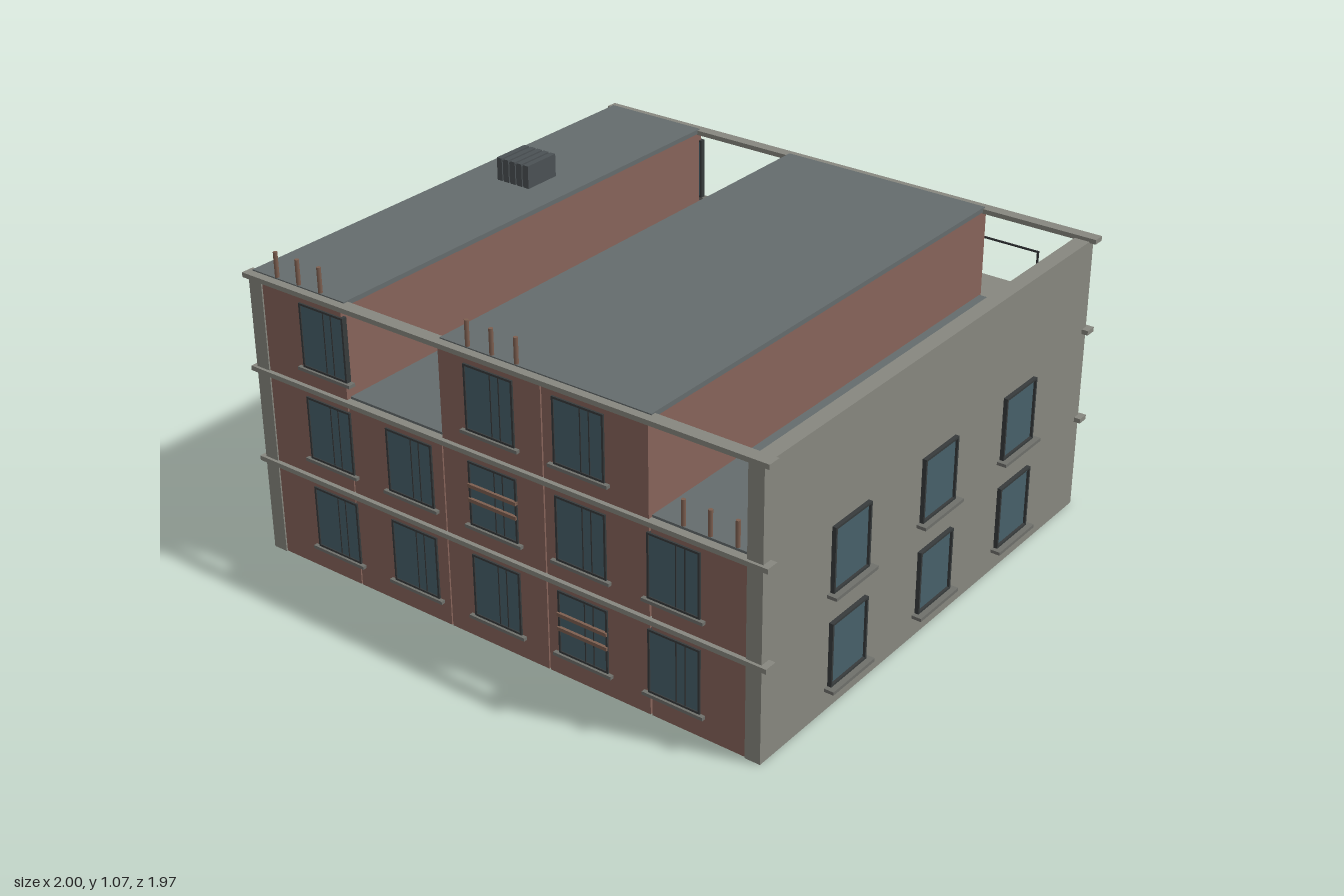
import * as THREE from 'three';

const mat = (color) => new THREE.MeshStandardMaterial({ color });
const M = {
  brick: mat(0x87645a), concrete: mat(0x87877f), roof: mat(0x656c6d), glass: mat(0x47606a),
  frame: mat(0x373b3c), sill: mat(0x6f706b), wood: mat(0x7d5f50), metal: mat(0x2c2e30), vent: mat(0x4b5154),
};

// Box given by its minimum and maximum on each axis
function box(parent, name, x0, x1, y0, y1, z0, z1, material) {
  const mesh = new THREE.Mesh(new THREE.BoxGeometry(x1 - x0, y1 - y0, z1 - z0), material);
  mesh.position.set((x0 + x1) / 2, (y0 + y1) / 2, (z0 + z1) / 2);
  mesh.name = name;
  parent.add(mesh);
  return mesh;
}

function rod(parent, name, a, b, radius, material) {
  const from = new THREE.Vector3(...a), dir = new THREE.Vector3(...b).sub(from);
  const mesh = new THREE.Mesh(new THREE.CylinderGeometry(radius, radius, dir.length(), 8), material);
  mesh.position.copy(from).addScaledVector(dir, 0.5);
  mesh.quaternion.setFromUnitVectors(new THREE.Vector3(0, 1, 0), dir.normalize());
  mesh.name = name;
  parent.add(mesh);
}

// Window facing +z, with its bottom centre on the wall surface
const W = 0.185, H = 0.217;
function makeWindow(depth, sillDepth, mullions, slats) {
  const g = new THREE.Group();
  g.name = 'window';
  const h = W / 2, t = 0.007, back = -0.012;
  box(g, 'glass', -h + t, h - t, t, H - t, back, depth * 0.4, M.glass);
  box(g, 'frameSide', -h, -h + t, 0, H, back, depth, M.frame);
  box(g, 'frameSide', h - t, h, 0, H, back, depth, M.frame);
  box(g, 'frameTop', -h + t, h - t, H - t, H, back, depth, M.frame);
  box(g, 'frameBottom', -h + t, h - t, 0, t, back, depth, M.frame);
  box(g, 'sill', -h - 0.016, h + 0.016, -0.011, 0, back, sillDepth, M.sill);
  for (const x of mullions) box(g, 'mullion', x - 0.002, x + 0.002, t, H - t, 0, depth * 0.7, M.frame);
  if (slats) for (const y of [0.088, 0.137])
    box(g, 'slat', -h, h, y - 0.006, y + 0.006, 0, depth + 0.006, M.wood);
  return g;
}

export function createModel() {
  const model = new THREE.Group();
  model.name = 'apartmentBuilding';
  const FRONT = 0.965, BACK = -0.825;
  const floors = [0.08, 0.4, 0.72];
  const tall = 0.966, low = 0.65;

  // Brick bays with narrow joints between them, each under a flat roof
  const bays = [
    { x0: -0.915, x1: -0.583, top: tall },
    { x0: -0.578, x1: -0.199, top: low },
    { x0: -0.194, x1: 0.191, top: tall },
    { x0: 0.196, x1: 0.573, top: tall },
    { x0: 0.58, x1: 0.91, top: low },
  ];
  for (const b of bays) box(model, 'brickBay', b.x0, b.x1, 0, b.top, BACK, FRONT, M.brick);
  for (const [x0, x1, y] of [[-0.968, -0.58, tall], [-0.196, 0.575, tall], [-0.58, -0.196, low], [0.575, 0.91, low]])
    box(model, 'flatRoof', x0, x1, y, y + 0.016, -0.812, 0.952, M.roof);

  // Concrete end walls
  box(model, 'endWall', -0.968, -0.915, 0, tall, -0.827, 0.97, M.concrete);
  box(model, 'endWall', 0.91, 0.963, 0, tall, -0.827, 0.97, M.concrete);

  // Horizontal bands on front and back
  for (const y of [0.32, 0.642, 0.962]) {
    box(model, 'frontBand', -0.985, 0.985, y, y + 0.016, 0.935, 0.98, M.concrete);
    box(model, 'backBand', -0.985, 0.985, y, y + 0.016, -0.84, -0.8, M.concrete);
  }

  // Front and back windows
  const columns = [-0.665, -0.333, -0.002, 0.328, 0.66];
  columns.forEach((x, i) => floors.forEach((y, f) => {
    if (f === 2 && bays[i].top === low) return;
    const slats = (i === 2 && f === 1) || (i === 3 && f === 0);
    for (const side of [1, -1]) {
      const w = makeWindow(0.006, 0.014, [0.008, 0.04].map((m) => m * side), slats);
      w.position.set(x, y, side > 0 ? FRONT : BACK);
      if (side < 0) w.rotation.y = Math.PI;
      model.add(w);
    }
  }));

  // End wall windows: three storeys on one side, two on the other
  for (const z of [0.545, 0.071, -0.4]) floors.forEach((y, f) => {
    for (const side of [1, -1]) {
      if (side > 0 && f === 2) continue;
      const w = makeWindow(0.014, 0.033, [], false);
      w.position.set(side > 0 ? 0.963 : -0.968, y, z);
      w.rotation.y = side * Math.PI / 2;
      model.add(w);
    }
  });

  // Rear balconies with thin railings
  for (const y of [0.32, 0.642]) {
    const g = new THREE.Group();
    g.name = 'balcony';
    box(g, 'balconySlab', 0.037, 0.728, y, y + 0.014, -0.985, -0.82, M.concrete);
    const top = y + 0.155;
    for (const x of [0.068, 0.697]) rod(g, 'railingPost', [x, y, -0.97], [x, top, -0.97], 0.004, M.metal);
    rod(g, 'handrail', [0.064, top, -0.97], [0.701, top, -0.97], 0.004, M.metal);
    model.add(g);
  }

  // Downpipe with brackets at the rear corner
  rod(model, 'downpipe', [-0.885, 0, -0.832], [-0.885, 0.962, -0.832], 0.006, M.metal);
  for (const y of [0.14, 0.37, 0.605, 0.835])
    box(model, 'pipeBracket', -0.9, -0.87, y - 0.005, y + 0.005, -0.842, -0.82, M.metal);

  // Roof flues in threes
  for (const [x, y] of [[-0.775, tall], [-0.002, tall], [0.77, low]])
    for (const d of [-0.092, 0, 0.092])
      rod(model, 'roofFlue', [x + d, y, 0.945], [x + d, y + 0.1, 0.945], 0.007, M.wood);

  // Ribbed ventilation unit
  box(model, 'ventUnit', -0.836, -0.709, 0.98, 1.055, -0.17, -0.04, M.vent);
  for (let i = 0; i < 5; i++) {
    const x = -0.84 + i * 0.0285;
    box(model, 'ventRib', x, x + 0.021, 0.98, 1.062, -0.175, -0.035, M.vent);
  }
  return model;
}
